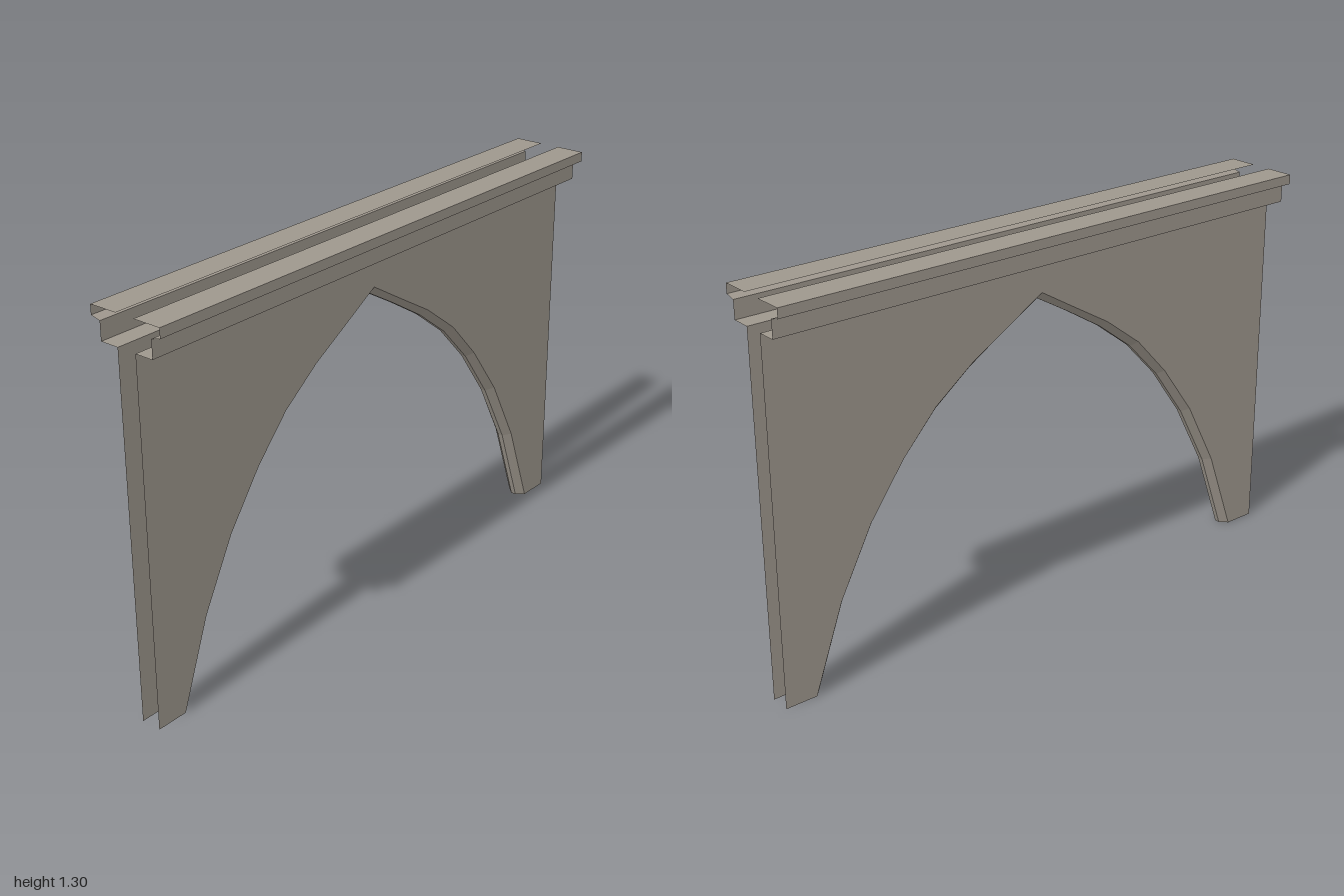
import * as THREE from 'three';

const stone = new THREE.MeshStandardMaterial({ color: 0x9e978d, side: THREE.DoubleSide });
stone.name = 'stone';

const WALL_Z = 0.034;
const WALL_TOP = 1.205;

// Half of the pointed arch, from foot to apex: wall edge and chamfered inner edge
const outerHalf = [[0.89, 0], [0.785, 0.29], [0.667, 0.515], [0.54, 0.69],
  [0.415, 0.825], [0.275, 0.93], [0.135, 1.012], [0, 1.092]];
const innerHalf = [[0.867, 0], [0.765, 0.283], [0.648, 0.503], [0.525, 0.675],
  [0.4, 0.807], [0.267, 0.908], [0.13, 0.992], [0, 1.067]];

// Mirrors a half arch into a full one running from -x to +x
function fullArch(half) {
  const left = half.map(([x, y]) => [-x, y]);
  const right = half.slice(0, -1).reverse();
  return [...left, ...right];
}

// Flat-faced surface between successive rows of points
function loft(rows) {
  const pos = [];
  for (let i = 0; i < rows.length - 1; i++) {
    const a = rows[i], b = rows[i + 1];
    for (let j = 0; j < a.length - 1; j++) {
      pos.push(...a[j], ...a[j + 1], ...b[j + 1], ...a[j], ...b[j + 1], ...b[j]);
    }
  }
  const geometry = new THREE.BufferGeometry();
  geometry.setAttribute('position', new THREE.Float32BufferAttribute(pos, 3));
  geometry.computeVertexNormals();
  return geometry;
}

function part(name, geometry) {
  const mesh = new THREE.Mesh(geometry, stone);
  mesh.name = name;
  return mesh;
}

export function createModel() {
  const model = new THREE.Group();
  model.name = 'pointedArch';
  const outer = fullArch(outerHalf);
  const inner = fullArch(innerHalf);

  // Thin wall sheet with the arch cut out of its lower edge
  const outline = [[-1, 0], ...outer, [1, 0], [1, WALL_TOP], [-1, WALL_TOP]];
  const wallShape = new THREE.Shape(outline.map(([x, y]) => new THREE.Vector2(x, y)));
  const wallGeometry = new THREE.ShapeGeometry(wallShape);
  wallGeometry.translate(0, 0, WALL_Z);

  // Stepped cornice, open towards the middle and at its ends
  const profile = [[1.305, WALL_Z], [1.305, 0.131], [1.273, 0.131],
    [1.265, 0.098], [WALL_TOP, 0.098], [WALL_TOP, WALL_Z]];
  const corniceGeometry = loft([-1, 1].map((x) => profile.map(([y, z]) => [x, y, z])));

  // Front side, and the same turned round for the back
  ['front', 'back'].forEach((side, i) => {
    const half = new THREE.Group();
    half.name = side + 'Side';
    half.add(part(side + 'Wall', wallGeometry), part(side + 'Cornice', corniceGeometry));
    half.rotation.y = i * Math.PI;
    model.add(half);
  });

  // Underside of the arch: chamfer, narrow flat strip, chamfer
  const rows = outer.map(([x, y], i) => {
    const [u, v] = inner[i];
    return [[x, y, WALL_Z], [u, v, 0.009], [u, v, -0.009], [x, y, -WALL_Z]];
  });
  model.add(part('archUnderside', loft(rows)));

  return model;
}
